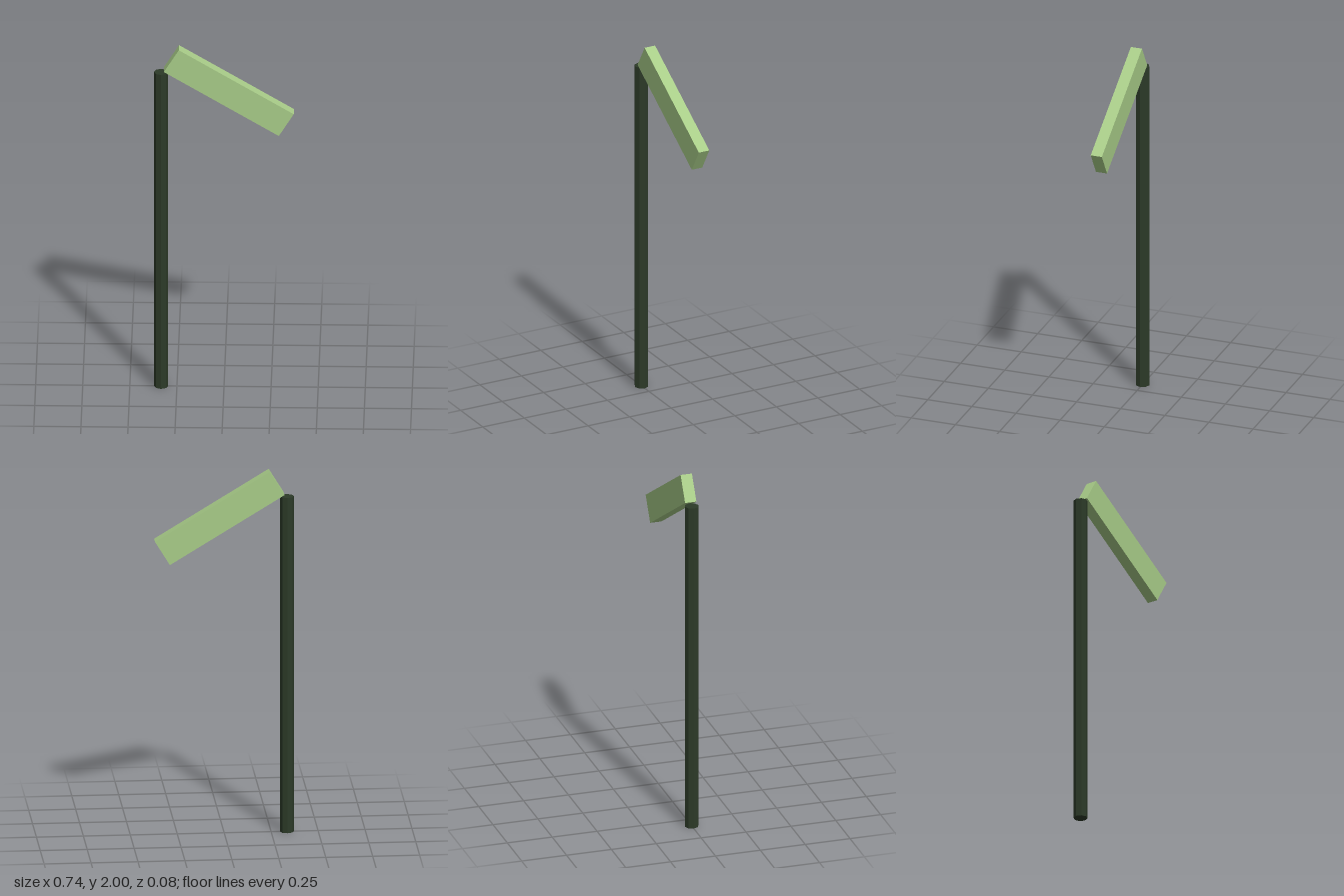
import * as THREE from 'three';

export function createModel() {
  const model = new THREE.Group();

  const addPart = (name, geometry, color, x, y) => {
    const mesh = new THREE.Mesh(geometry, new THREE.MeshStandardMaterial({ color, flatShading: true }));
    mesh.name = name;
    mesh.position.set(x, y, 0);
    model.add(mesh);
    return mesh;
  };

  // Octagonal upright pole
  const poleHeight = 1.857;
  addPart('pole', new THREE.CylinderGeometry(0.0375, 0.0375, poleHeight, 8), 0x2c3a28, -0.334, poleHeight / 2);

  // Slab sloping down from the top of the pole
  const slab = addPart('slopingSlab', new THREE.BoxGeometry(0.715, 0.152, 0.063), 0xa8cc88, 0.026, 1.75);
  slab.rotation.z = THREE.MathUtils.degToRad(-31.4);

  return model;
}
